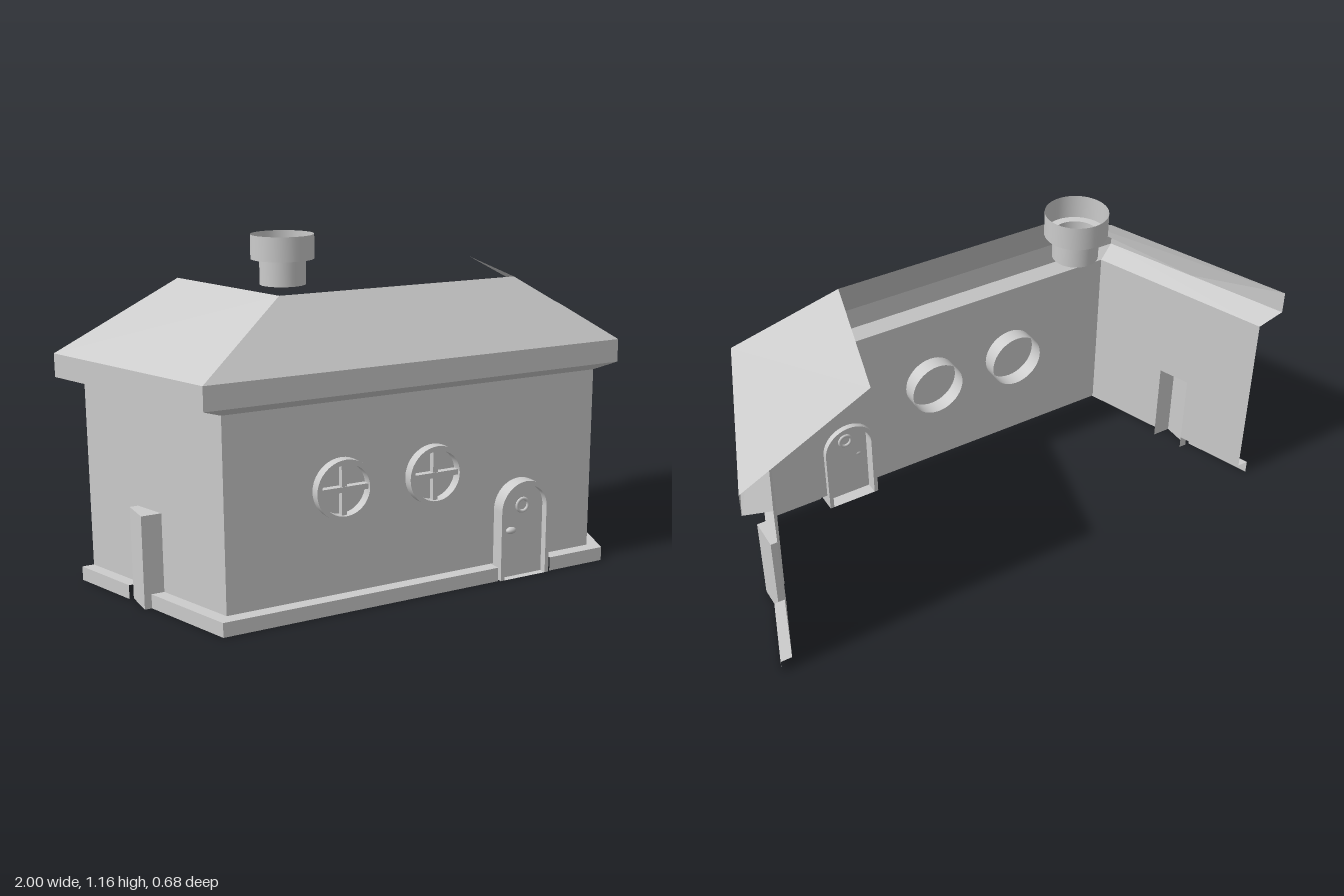
import * as THREE from 'three';

const BACK = -0.34;
const mat = new THREE.MeshStandardMaterial({ color: 0xcccccc, side: THREE.DoubleSide });

function add(parent, name, geometry, x = 0, y = 0, z = 0) {
  const mesh = new THREE.Mesh(geometry, mat);
  mesh.name = name;
  mesh.position.set(x, y, z);
  parent.add(mesh);
  return mesh;
}

// Flat-faced skin between rows of points; rows run top to bottom, points left to right.
function loft(rows) {
  const pos = [];
  for (let i = 0; i < rows.length - 1; i++) {
    for (let j = 0; j < rows[i].length - 1; j++) {
      const a = rows[i][j], b = rows[i][j + 1], c = rows[i + 1][j + 1], d = rows[i + 1][j];
      pos.push(...d, ...c, ...b, ...d, ...b, ...a);
    }
  }
  const g = new THREE.BufferGeometry();
  g.setAttribute('position', new THREE.Float32BufferAttribute(pos, 3));
  g.computeVertexNormals();
  return g;
}

// Three-sided outline, open at the back.
const outline = (corner, front, back, y) => [
  [-back, y, BACK], [-corner, y, front], [corner, y, front], [back, y, BACK],
];

// x of the slanting side wall and plinth at a given z
const wallX = (z) => 0.68 + (0.225 * (0.29 - z)) / 0.63;
const plinthX = (z) => 0.71 + (0.235 * (0.335 - z)) / 0.675;

// Arched doorway outline with its foot at y = 0
function arch(path, half, top) {
  path.moveTo(-half, 0);
  path.lineTo(half, 0);
  path.lineTo(half, top - half);
  path.absarc(0, top - half, half, 0, Math.PI, false);
  path.lineTo(-half, 0);
  return path;
}

const PLINTH = 0.048, WALL_TOP = 0.68, DOOR_X = 0.385;
const B0 = 0.01, B1 = -0.1, B_TOP = 0.312, B_OUT = 0.847; // buttress limits

function makeFrontWall() {
  const half = 0.09, top = 0.33;
  const s = new THREE.Shape();
  s.moveTo(-0.68, PLINTH);
  s.lineTo(DOOR_X - half, PLINTH);
  s.lineTo(DOOR_X - half, top - half);
  s.absarc(DOOR_X, top - half, half, Math.PI, 0, true);
  s.lineTo(DOOR_X + half, PLINTH);
  s.lineTo(0.68, PLINTH);
  s.lineTo(0.68, WALL_TOP);
  s.lineTo(-0.68, WALL_TOP);
  return new THREE.ShapeGeometry(s, 24);
}

// Side wall with a notch for the buttress, drawn flat and laid on the slant
function makeSideWall() {
  const s = new THREE.Shape([
    [-0.29, PLINTH], [-B0, PLINTH], [-B0, B_TOP], [-B1, B_TOP], [-B1, PLINTH],
    [-BACK, PLINTH], [-BACK, WALL_TOP], [-0.29, WALL_TOP],
  ].map(([x, y]) => new THREE.Vector2(x, y)));
  const g = new THREE.ShapeGeometry(s);
  const p = g.attributes.position;
  for (let i = 0; i < p.count; i++) {
    const z = -p.getX(i);
    p.setXYZ(i, wallX(z), p.getY(i), z);
  }
  g.computeVertexNormals();
  return g;
}

// Plinth stretch: a shelf and a face along pairs of [inner, outer] points
function makePlinth(pairs) {
  return loft([
    pairs.map(([i]) => [i[0], PLINTH, i[1]]),
    pairs.map(([, o]) => [o[0], PLINTH, o[1]]),
    pairs.map(([, o]) => [o[0], 0, o[1]]),
  ]);
}
const sidePair = (z) => [[wallX(z), z], [plinthX(z), z]];

function makeSide() {
  const side = new THREE.Group();
  add(side, 'sideWall', makeSideWall());
  add(side, 'rearPlinth', makePlinth([sidePair(B1), sidePair(BACK)]));
  add(side, 'frontSidePlinth', makePlinth([[[0.68, 0.29], [0.71, 0.335]], sidePair(B0)]));
  const foot = [[wallX(B0), B0], [B_OUT, B0], [B_OUT, B1], [wallX(B1), B1]];
  add(side, 'buttress', loft([B_TOP, 0].map((y) => foot.map(([x, z]) => [x, y, z]))));
  add(side, 'buttressTop', loft([
    [[wallX(B1), B_TOP, B1], [B_OUT, B_TOP, B1]],
    [[wallX(B0), B_TOP, B0], [B_OUT, B_TOP, B0]],
  ]));
  return side;
}

// Round window: deep ring through the wall with crossed glazing bars
function makeWindow(x) {
  const w = new THREE.Group();
  w.name = 'roundWindow';
  w.position.set(x, 0.4, 0);
  const ring = [[0.1, 0.235], [0.1, 0.325], [0.1, 0.325], [0.084, 0.325], [0.084, 0.325], [0.084, 0.29]];
  const g = new THREE.LatheGeometry(ring.map(([r, z]) => new THREE.Vector2(r, z)), 40);
  add(w, 'windowFrame', g.rotateX(Math.PI / 2));
  add(w, 'verticalBar', new THREE.BoxGeometry(0.018, 0.17, 0.02), 0, 0, 0.302);
  add(w, 'horizontalBar', new THREE.BoxGeometry(0.17, 0.018, 0.024), 0, 0, 0.302);
  return w;
}

function makeDoor() {
  const door = new THREE.Group();
  door.name = 'door';
  door.position.x = DOOR_X;
  const frame = arch(new THREE.Shape(), 0.097, 0.338);
  frame.holes.push(arch(new THREE.Path(), 0.082, 0.322));
  add(door, 'doorFrame',
    new THREE.ExtrudeGeometry(frame, { depth: 0.07, bevelEnabled: false, curveSegments: 24 }), 0, 0, 0.27);
  add(door, 'doorPanel', new THREE.ShapeGeometry(arch(new THREE.Shape(), 0.083, 0.323), 24), 0, 0, 0.315);
  add(door, 'porthole', new THREE.TorusGeometry(0.022, 0.006, 8, 28), 0, 0.248, 0.315);
  const knob = add(door, 'doorKnob', new THREE.SphereGeometry(0.012, 16, 12), -0.05, 0.168, 0.325);
  knob.scale.set(1.6, 1, 1);
  return door;
}

export function createModel() {
  const house = new THREE.Group();
  house.name = 'house';

  // Hipped roof with a fascia and a sloping soffit
  add(house, 'roof', loft([
    outline(0.43, 0.165, 0.572, 1.0),
    outline(0.75, 0.33, 1.0, 0.785),
    outline(0.75, 0.33, 1.0, 0.707),
    outline(0.68, 0.29, 0.905, WALL_TOP),
  ]));

  // Walls, plinth and buttresses
  add(house, 'frontWall', makeFrontWall(), 0, 0, 0.29);
  for (const [from, to] of [[-1, DOOR_X - 0.105], [DOOR_X + 0.105, 1]]) {
    const ends = [from, to].map((x) => (Math.abs(x) === 1
      ? [[x * 0.68, 0.29], [x * 0.71, 0.335]]
      : [[x, 0.29], [x, 0.335]]));
    add(house, 'frontPlinth', makePlinth(ends));
  }
  for (const s of [1, -1]) {
    const side = makeSide();
    side.name = s > 0 ? 'leftSide' : 'rightSide';
    side.scale.x = s;
    house.add(side);
  }

  // Openings
  house.add(makeWindow(-0.285), makeWindow(0.045), makeDoor());

  // Hollow chimney pot, profile points doubled to keep the edges sharp
  const pot = [[0.075, 1.0], [0.075, 1.083], [0.075, 1.083], [0.103, 1.083], [0.103, 1.083], [0.103, 1.162]];
  add(house, 'chimney',
    new THREE.LatheGeometry(pot.map(([r, y]) => new THREE.Vector2(r, y)), 40), -0.32, 0, -0.05);

  return house;
}
